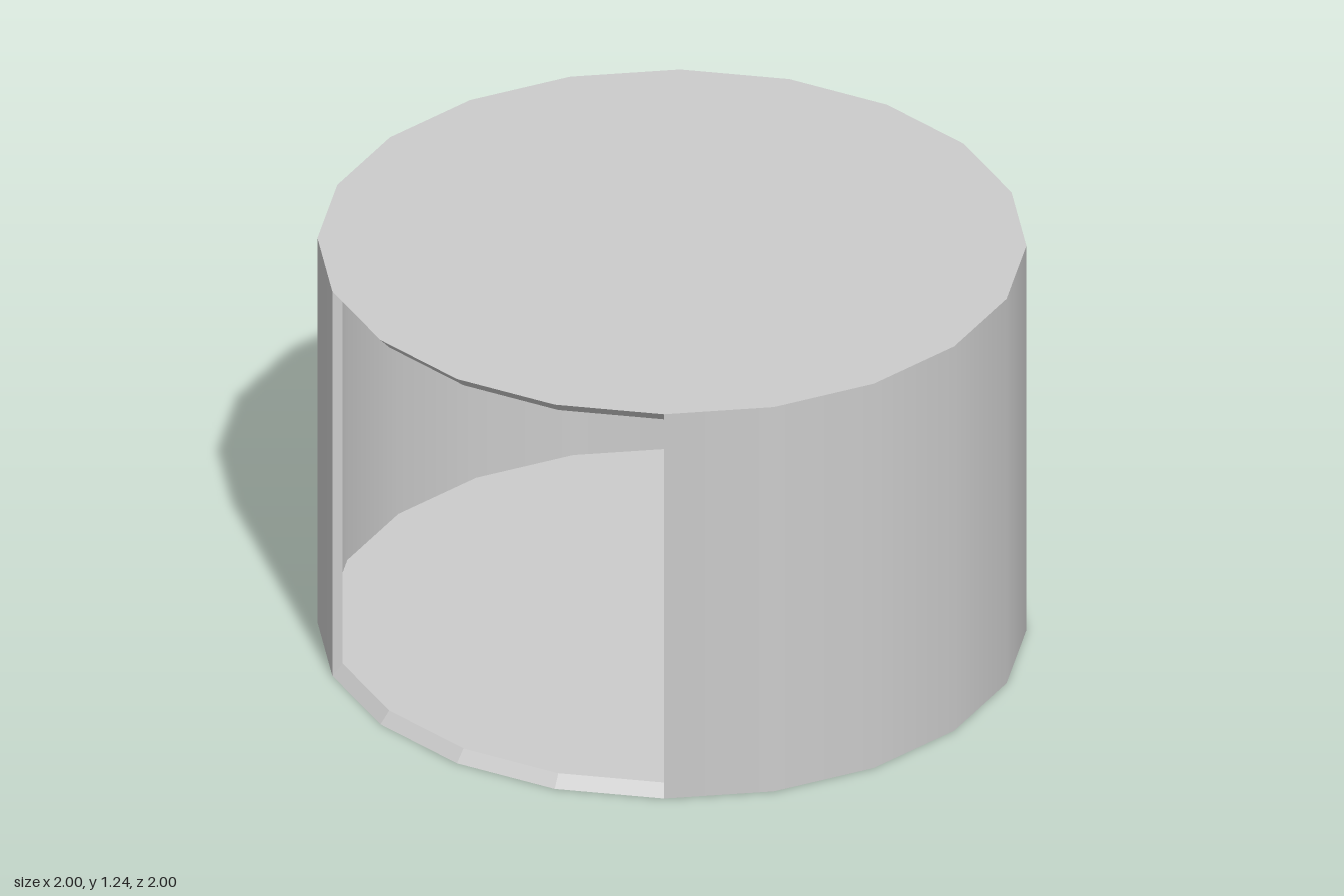
import * as THREE from 'three';

const SIDES = 20, PHASE = THREE.MathUtils.degToRad(0.7);
const R_OUT = 1, R_IN = 0.97;            // wall radii
const H = 1.24, FLOOR = 0.035, CEIL = 1.207;
const WIN = { right: 0.47, left: -0.5, bottom: 0.64, top: 1.015 };
const FIRST = -3, LAST = 13;             // wall corners; the gap is the front doorway

const material = new THREE.MeshStandardMaterial({ color: 0xcccccc });

const corner = (i, r) => {
  const a = PHASE + (i * Math.PI * 2) / SIDES;
  return new THREE.Vector2(r * Math.cos(a), -r * Math.sin(a));
};
const station = (i) => ({ out: corner(i, R_OUT), inn: corner(i, R_IN) });

// Point of the wall segment starting at corner i that lies at the given x
function stationAtX(i, x) {
  const cut = (r) => {
    const a = corner(i, r), b = corner(i + 1, r);
    return a.clone().lerp(b, (x - a.x) / (b.x - a.x));
  };
  return { out: cut(R_OUT), inn: cut(R_IN) };
}

const at = (p, y) => new THREE.Vector3(p.x, y, p.y);

// Mesh from quads; radial = +1 / -1 gives smooth outward / inward normals, 0 gives flat faces
function quadMesh(name, quads, radial = 0) {
  const pos = [], nor = [];
  for (const [a, b, c, d] of quads) {
    const flat = c.clone().sub(a).cross(d.clone().sub(b)).normalize();
    for (const p of [a, b, c, a, c, d]) {
      const n = radial ? new THREE.Vector3(p.x, 0, p.z).normalize().multiplyScalar(radial) : flat;
      pos.push(p.x, p.y, p.z);
      nor.push(n.x, n.y, n.z);
    }
  }
  const g = new THREE.BufferGeometry();
  g.setAttribute('position', new THREE.Float32BufferAttribute(pos, 3));
  g.setAttribute('normal', new THREE.Float32BufferAttribute(nor, 3));
  const mesh = new THREE.Mesh(g, material);
  mesh.name = name;
  return mesh;
}

function disc(name, r, y, up) {
  const g = new THREE.CircleGeometry(r, SIDES, up ? PHASE : -PHASE);
  g.rotateX(up ? -Math.PI / 2 : Math.PI / 2);
  const mesh = new THREE.Mesh(g, material);
  mesh.position.y = y;
  mesh.name = name;
  return mesh;
}

export function createModel() {
  const group = new THREE.Group();
  group.name = 'drumRoom';

  // Wall stations, with the two window edges inserted
  const stations = [];
  let winStart, winEnd;
  for (let i = FIRST; i <= LAST; i++) {
    stations.push(station(i));
    if (i === 3) winStart = stations.push(stationAtX(i, WIN.right)) - 1;
    if (i === 6) winEnd = stations.push(stationAtX(i, WIN.left)) - 1;
  }

  // Wall skins in three rows, leaving the window open
  const outer = [], inner = [], reveal = [];
  const outY = [0, WIN.bottom, WIN.top, H], inY = [FLOOR, WIN.bottom, WIN.top, CEIL];
  for (let k = 0; k < stations.length - 1; k++) {
    const s = stations[k], t = stations[k + 1];
    const open = k >= winStart && k < winEnd;
    for (let r = 0; r < 3; r++) {
      if (open && r === 1) continue;
      outer.push([at(s.out, outY[r]), at(t.out, outY[r]), at(t.out, outY[r + 1]), at(s.out, outY[r + 1])]);
      inner.push([at(t.inn, inY[r]), at(s.inn, inY[r]), at(s.inn, inY[r + 1]), at(t.inn, inY[r + 1])]);
    }
    if (open) reveal.push(...ledges(s, t, WIN.bottom, WIN.bottom, WIN.top, WIN.top));
  }
  reveal.push(jamb(stations[winStart], WIN.bottom, WIN.bottom, WIN.top, WIN.top));
  reveal.push(jamb(stations[winEnd], WIN.bottom, WIN.bottom, WIN.top, WIN.top).reverse());

  // Bevelled frame of the front doorway
  const frame = [];
  for (let i = LAST; i < FIRST + SIDES; i++) {
    frame.push(...ledges(station(i), station(i + 1), 0, FLOOR, H, CEIL));
  }
  frame.push(jamb(station(LAST), 0, FLOOR, H, CEIL));
  frame.push(jamb(station(FIRST), 0, FLOOR, H, CEIL).reverse());

  group.add(
    quadMesh('outerWall', outer, 1),
    quadMesh('innerWall', inner, -1),
    quadMesh('windowReveal', reveal),
    quadMesh('doorwayFrame', frame),
    disc('roof', R_OUT, H, true),
    disc('ceiling', R_IN, CEIL, false),
    disc('floor', R_IN, FLOOR, true),
    disc('base', R_OUT, 0, false)
  );
  return group;
}

// Sill (facing up) and head (facing down) of an opening between two stations
function ledges(s, t, outLow, inLow, outHigh, inHigh) {
  return [
    [at(s.out, outLow), at(t.out, outLow), at(t.inn, inLow), at(s.inn, inLow)],
    [at(s.inn, inHigh), at(t.inn, inHigh), at(t.out, outHigh), at(s.out, outHigh)],
  ];
}

// Upright side of an opening
function jamb(s, outLow, inLow, outHigh, inHigh) {
  return [at(s.out, outLow), at(s.inn, inLow), at(s.inn, inHigh), at(s.out, outHigh)];
}
